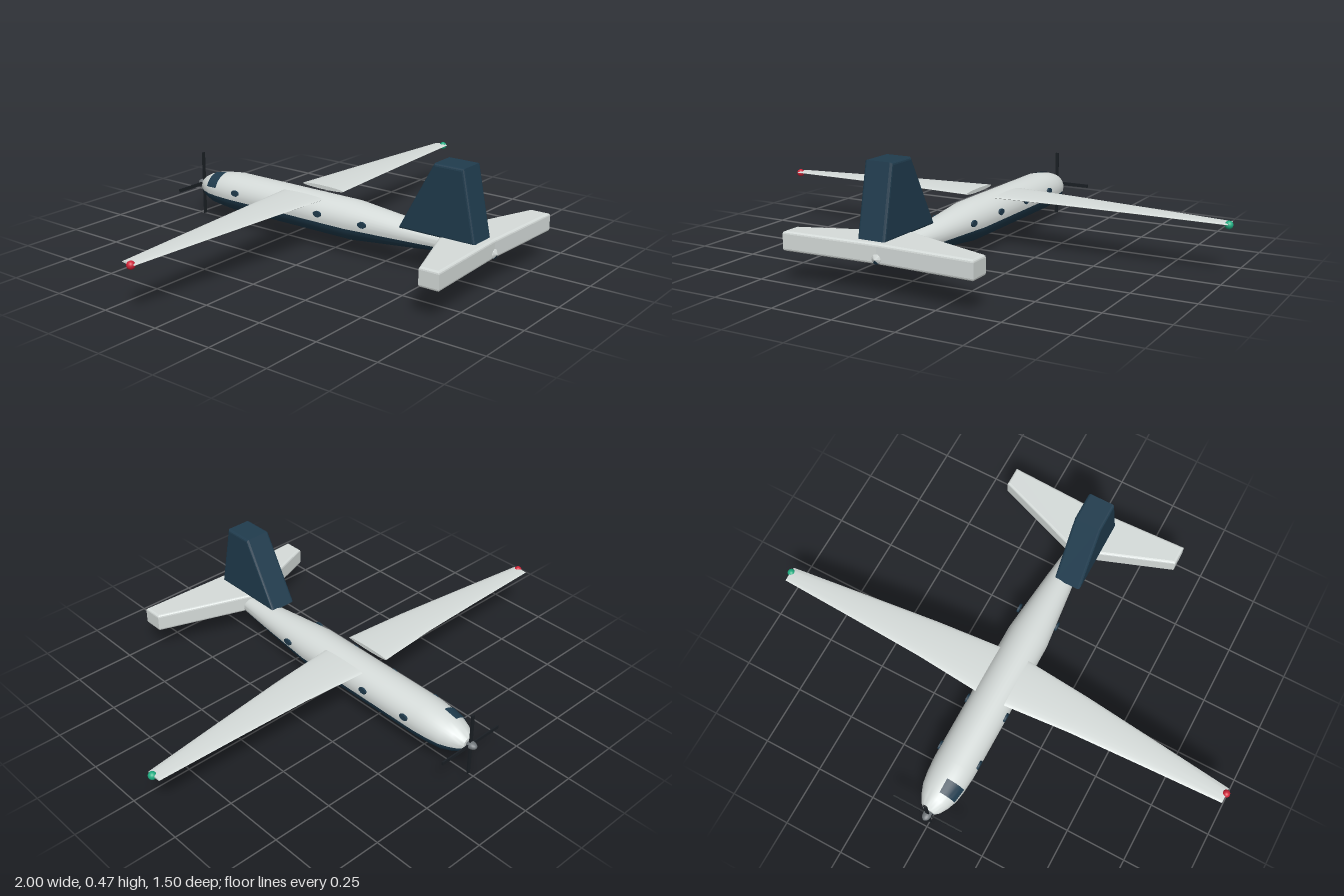
import * as THREE from 'three';
import { toCreasedNormals } from 'three/addons/utils/BufferGeometryUtils.js';

const mat = (name, color, side = THREE.FrontSide) =>
  Object.assign(new THREE.MeshStandardMaterial({ color, side }), { name });

// Surface through rows of points
function loft(rows, flip = false, crease = 0.6) {
  const n = rows[0].length, idx = [];
  for (let j = 0; j < rows.length - 1; j++) for (let i = 0; i < n - 1; i++) {
    const a = j * n + i, b = a + 1, c = a + n, d = c + 1;
    idx.push(...(flip ? [a, d, b, a, c, d] : [a, b, d, a, d, c]));
  }
  const g = new THREE.BufferGeometry();
  g.setAttribute('position', new THREE.Float32BufferAttribute(rows.flat(2), 3));
  g.setIndex(idx);
  return toCreasedNormals(g, crease);
}

// Fuselage stations: z, centre y, half width, half height
const stations = [
  [-0.715, 0.138, 0.001, 0.001], [-0.714, 0.138, 0.025, 0.024], [-0.7, 0.137, 0.041, 0.037],
  [-0.67, 0.137, 0.059, 0.054], [-0.63, 0.137, 0.075, 0.066], [-0.58, 0.139, 0.083, 0.073],
  [-0.515, 0.14, 0.088, 0.08], [0.105, 0.14, 0.088, 0.08], [0.37, 0.141, 0.06, 0.054],
  [0.54, 0.141, 0.04, 0.037], [0.735, 0.14, 0.018, 0.018], [0.744, 0.14, 0.001, 0.001],
];

// Arc rows of the fuselage skin between two angles, moved outward by lift
const skin = (list, from, to, lift = 0, n = 20) => list.map(([z, cy, rx, ry]) => {
  const a0 = from(ry, cy), a1 = to(ry, cy);
  return Array.from({ length: n + 1 }, (_, i) => {
    const a = a0 + (a1 - a0) * i / n;
    return [(rx + lift) * Math.cos(a), cy + (ry + lift) * Math.sin(a), z];
  });
});

function wingGeometry(side) {
  // Stations: x, leading z, trailing z, centre y, thickness
  const list = [
    [0.064, -0.22, -0.01, 0.217, 0.016], [0.34, -0.197, -0.033, 0.215, 0.014],
    [0.65, -0.181, -0.065, 0.208, 0.011], [0.985, -0.165, -0.1, 0.199, 0.008],
  ];
  const row = ([x, z0, z1, y, t], k = 1) => Array.from({ length: 25 }, (_, i) => {
    const a = i / 24 * Math.PI * 2;
    return [side * x, y + k * t / 2 * Math.sin(a), (z0 + z1) / 2 + k * (z1 - z0) / 2 * Math.cos(a)];
  });
  const rows = [row(list[0], 0.01), ...list.map((s) => row(s)), row(list[3], 0.01)];
  return loft(rows, side > 0);
}

function bevelled(points, depth) {
  const b = 0.01;
  return new THREE.ExtrudeGeometry(new THREE.Shape(points.map((p) => new THREE.Vector2(...p))), {
    depth: depth - 2 * b, bevelEnabled: true, bevelThickness: b, bevelSize: b, bevelOffset: -b, bevelSegments: 3,
  });
}

export function createModel() {
  const model = new THREE.Group();
  model.name = 'airplane';
  const white = mat('paleGrey', 0xd6dcda, THREE.DoubleSide);
  const navy = mat('navy', 0x203c4e, THREE.DoubleSide);
  const black = mat('propellerBlack', 0x1a1f24);
  const grey = mat('spinnerGrey', 0x70767a);
  const red = mat('portRed', 0xd02338);
  const green = mat('starboardGreen', 0x1fae82);
  const add = (name, geo, material, x = 0, y = 0, z = 0) => {
    const m = new THREE.Mesh(geo, material);
    m.name = name;
    m.position.set(x, y, z);
    model.add(m);
    return m;
  };

  // Fuselage, split at the paint line
  const dip = (ry, cy) => Math.asin(Math.min(1, (cy - 0.126) / ry));
  add('fuselageUpper', loft(skin(stations, (r, c) => -dip(r, c), (r, c) => Math.PI + dip(r, c))), white);
  add('fuselageBelly', loft(skin(stations, (r, c) => Math.PI + dip(r, c), (r, c) => Math.PI * 2 - dip(r, c))), navy);

  // Cockpit window on one side of the nose
  const pane = [[-0.64, 0.137, 0.072, 0.064], stations[4], stations[5]];
  add('cockpitWindow', loft(skin(pane, () => 1.7, () => 2.85, 0.003, 8)), navy);

  // Cabin windows
  const windowGeo = new THREE.CylinderGeometry(1, 1, 0.008, 8);
  windowGeo.rotateY(Math.PI / 8).rotateZ(Math.PI / 2).scale(1, 0.013, 0.02);
  for (const side of [-1, 1]) for (const z of [0.195, -0.025, -0.245, -0.465])
    add('cabinWindow', windowGeo, navy, side * 0.087, 0.16, z);

  // Wings and tip lights
  const bulb = new THREE.SphereGeometry(0.016, 16, 12);
  for (const side of [-1, 1]) {
    add('wing', wingGeometry(side), white);
    add('wingTipLight', bulb, side > 0 ? green : red, side * 0.984, 0.195, -0.122);
  }

  // Tailplane
  const tail = bevelled([[0, 0.518], [0.395, 0.663], [0.395, 0.747], [0, 0.732], [-0.395, 0.747], [-0.395, 0.663]], 0.075);
  add('tailplane', tail.rotateX(Math.PI / 2), white, 0, 0.185, 0);

  // Fin
  const fin = bevelled([[0.705, 0.19], [0.648, 0.468], [0.522, 0.468], [0.37, 0.19]], 0.115);
  add('fin', fin.rotateY(-Math.PI / 2), navy, 0.007, 0, 0);

  // Propeller
  add('propellerBladeVertical', new THREE.BoxGeometry(0.014, 0.276, 0.006), black, 0, 0.138, -0.725);
  add('propellerBladeHorizontal', new THREE.BoxGeometry(0.304, 0.014, 0.006), black, 0, 0.138, -0.725);
  add('spinner', new THREE.SphereGeometry(1, 16, 12).scale(0.018, 0.015, 0.026), grey, 0, 0.139, -0.728);
  return model;
}
